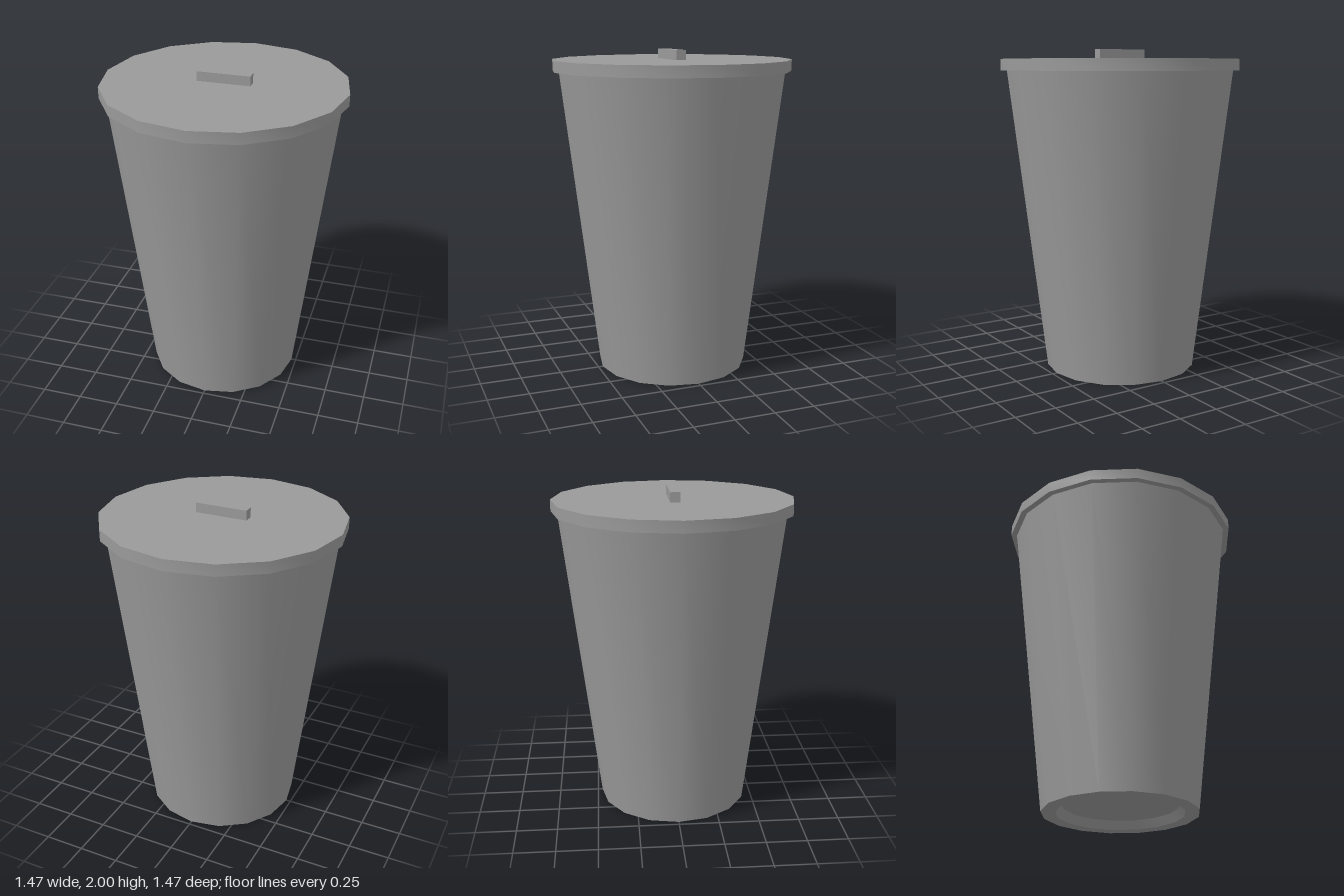
import * as THREE from 'three';
import { toCreasedNormals } from 'three/addons/utils/BufferGeometryUtils.js';

const SIDES = 16;
const material = new THREE.MeshStandardMaterial({ color: 0x9a9a9a });

// Revolve a profile of [radius, height] pairs: smooth around, sharp at rims
function turned(name, profile) {
  const points = profile.map(([r, y]) => new THREE.Vector2(r, y));
  const geometry = toCreasedNormals(new THREE.LatheGeometry(points, SIDES), Math.PI / 6);
  const mesh = new THREE.Mesh(geometry, material);
  mesh.name = name;
  return mesh;
}

export function createModel() {
  const group = new THREE.Group();
  group.name = 'liddedBin';

  // Tapered body with a shallow recess under the base
  group.add(turned('body', [
    [0, 0.05], [0.35, 0.05], [0.385, 0], [0.472, 0], [0.7, 1.88],
  ]));

  // Flat overhanging lid
  group.add(turned('lid', [
    [0, 1.872], [0.736, 1.872], [0.736, 1.941], [0, 1.941],
  ]));

  // Bar handle on the lid
  const handle = new THREE.Mesh(new THREE.BoxGeometry(0.326, 0.06, 0.06), material);
  handle.name = 'handle';
  handle.position.y = 1.97;
  group.add(handle);

  return group;
}
